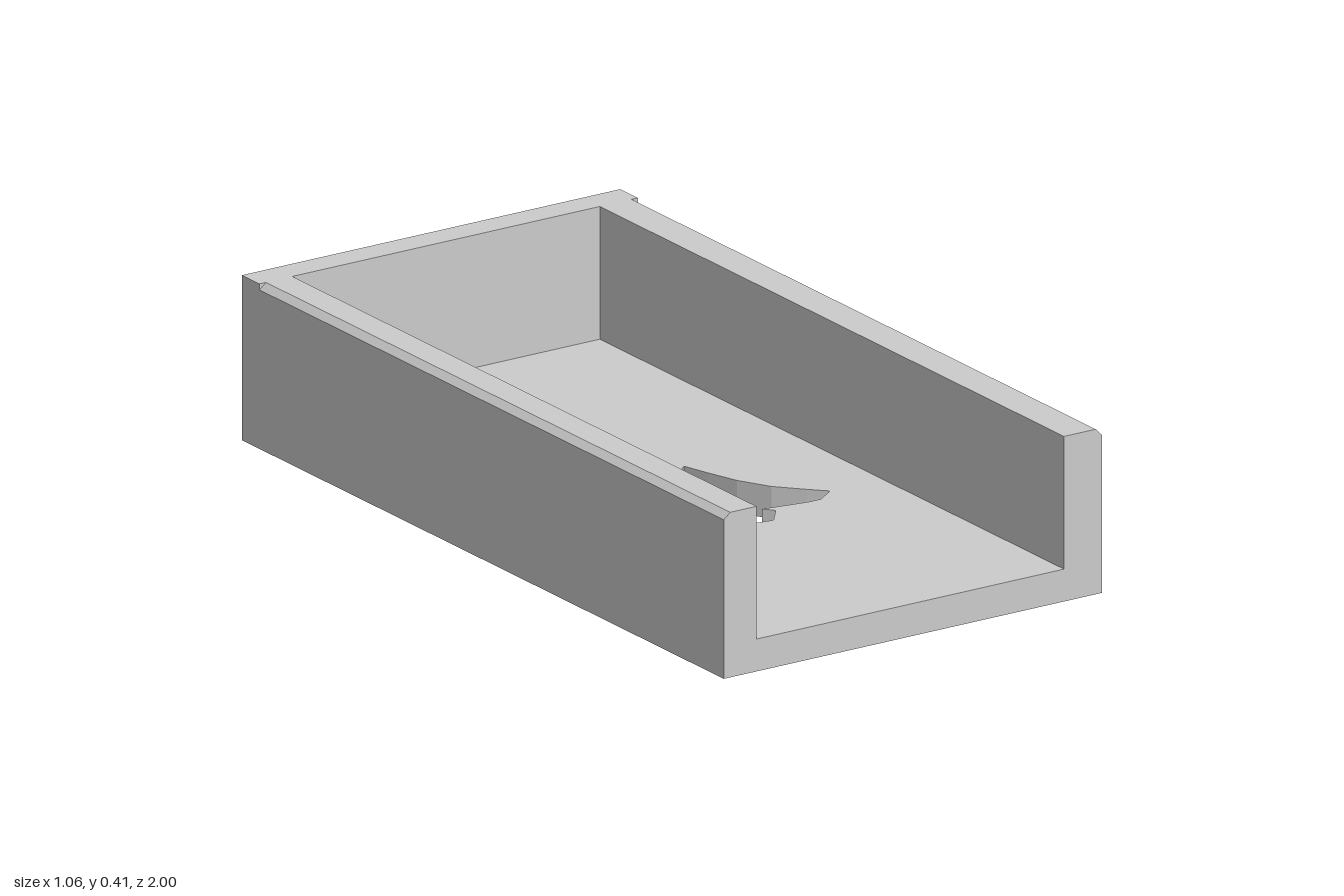
import * as THREE from 'three';

const W = 0.532, H = 0.408, FLOOR = 0.08, BACK = -0.927;

export function createModel() {
  const group = new THREE.Group();
  const material = new THREE.MeshStandardMaterial({ color: 0xcccccc, flatShading: true });
  const add = (name, geometry) => {
    const mesh = new THREE.Mesh(geometry, material);
    mesh.name = name;
    group.add(mesh);
  };
  const polygon = (points) => points.map(([x, y]) => new THREE.Vector2(x, y));

  // Floor slab with an irregular cut-out, outlined as [x, z]
  const cutout = [
    [-0.05, -0.32], [-0.013, -0.32], [0.013, -0.285], [0.024, -0.25], [0.026, -0.16],
    [0.018, -0.1], [0.04, -0.068], [0.061, -0.058], [0.093, -0.088], [0.114, -0.016],
    [0.14, 0.063], [0.183, 0.143], [0.24, 0.206], [0.278, 0.245], [0.23, 0.28],
    [0.193, 0.28], [0.077, 0.26], [0.098, 0.286], [0.056, 0.339], [-0.013, 0.328],
    [-0.05, 0.307], [-0.108, 0.259], [-0.167, 0.206], [-0.204, 0.153], [-0.198, 0.09],
    [-0.172, 0.063], [-0.172, -0.021], [-0.14, -0.078], [-0.077, -0.078],
    [-0.103, -0.153], [-0.103, -0.238], [-0.082, -0.28],
  ];
  const slab = new THREE.Shape(polygon([[-W, -1], [W, -1], [W, 1], [-W, 1]]));
  slab.holes.push(new THREE.Path(polygon(cutout.map(([x, z]) => [x, -z]))));
  add('floor', new THREE.ExtrudeGeometry(slab, { depth: FLOOR, bevelEnabled: false }).rotateX(-Math.PI / 2));

  // Side walls with a chamfered outer top edge that stops at the back wall
  const sideWall = (name, side, inner, drop) => {
    const profile = new THREE.Shape(polygon([
      [side * inner, FLOOR], [side * W, FLOOR], [side * W, H - drop],
      [side * (W - 0.018), H], [side * inner, H],
    ]));
    const wall = new THREE.ExtrudeGeometry(profile, { depth: 1 - BACK, bevelEnabled: false });
    add(name, wall.translate(0, 0, BACK));
  };
  sideWall('leftWall', 1, 0.425, 0.018);
  sideWall('rightWall', -1, 0.44, 0.015);

  // Back wall, full width
  const back = new THREE.BoxGeometry(2 * W, H - FLOOR, 1 + BACK);
  add('backWall', back.translate(0, (H + FLOOR) / 2, (BACK - 1) / 2));

  return group;
}
